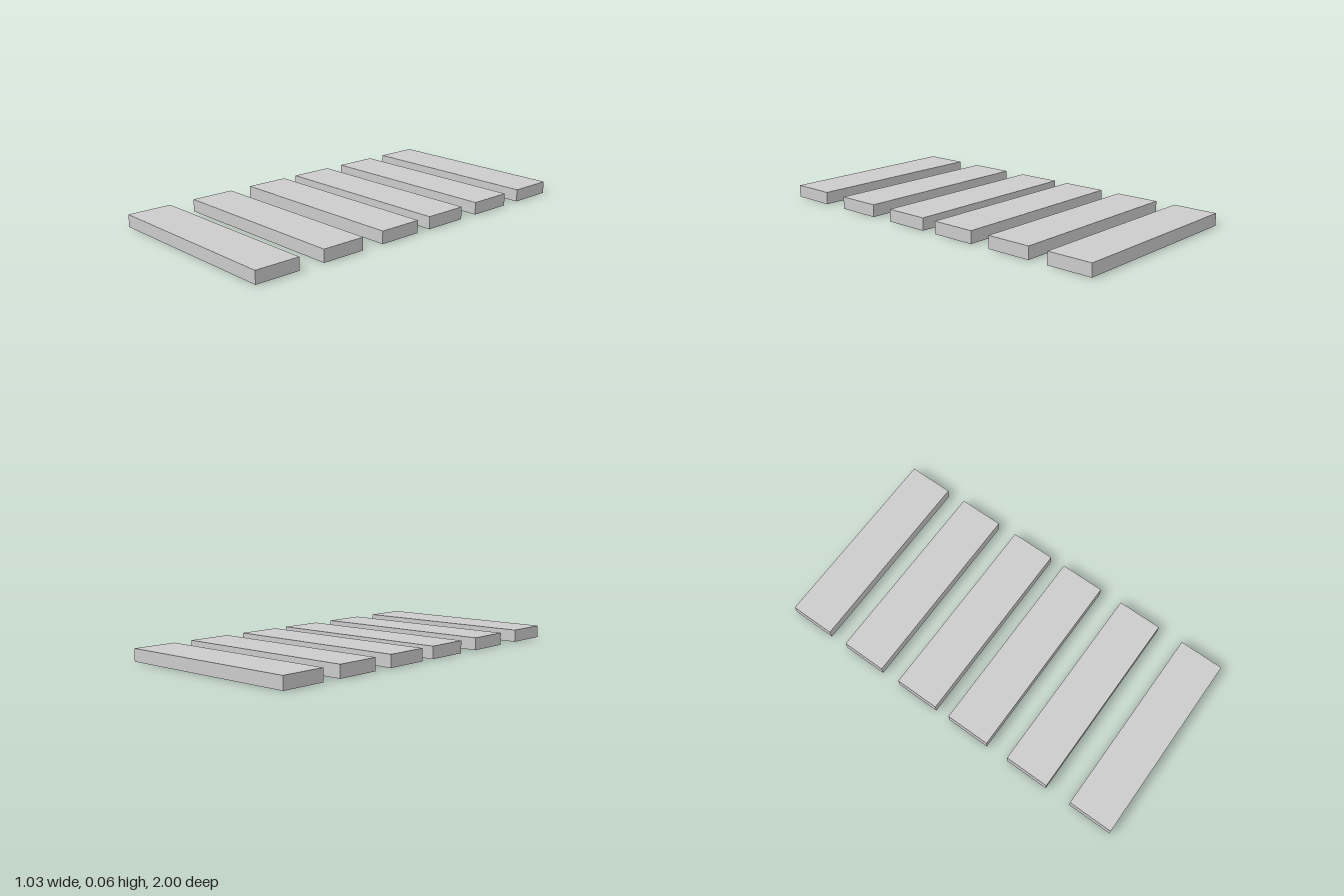
import * as THREE from 'three';

export function createModel() {
  const group = new THREE.Group();
  group.name = 'plankWalkway';

  const width = 1.03, height = 0.065, depth = 0.239;
  const material = new THREE.MeshStandardMaterial({ color: 0xcccccc, flatShading: true });
  const geometry = new THREE.BoxGeometry(width, height, depth);

  // Six loose planks, unevenly spaced from back to front
  const centres = [-0.8805, -0.535, -0.187, 0.135, 0.5, 0.8805];
  centres.forEach((z, i) => {
    const plank = new THREE.Mesh(geometry, material);
    plank.name = `plank${i + 1}`;
    plank.position.set(0, height / 2, z);
    group.add(plank);
  });

  return group;
}
